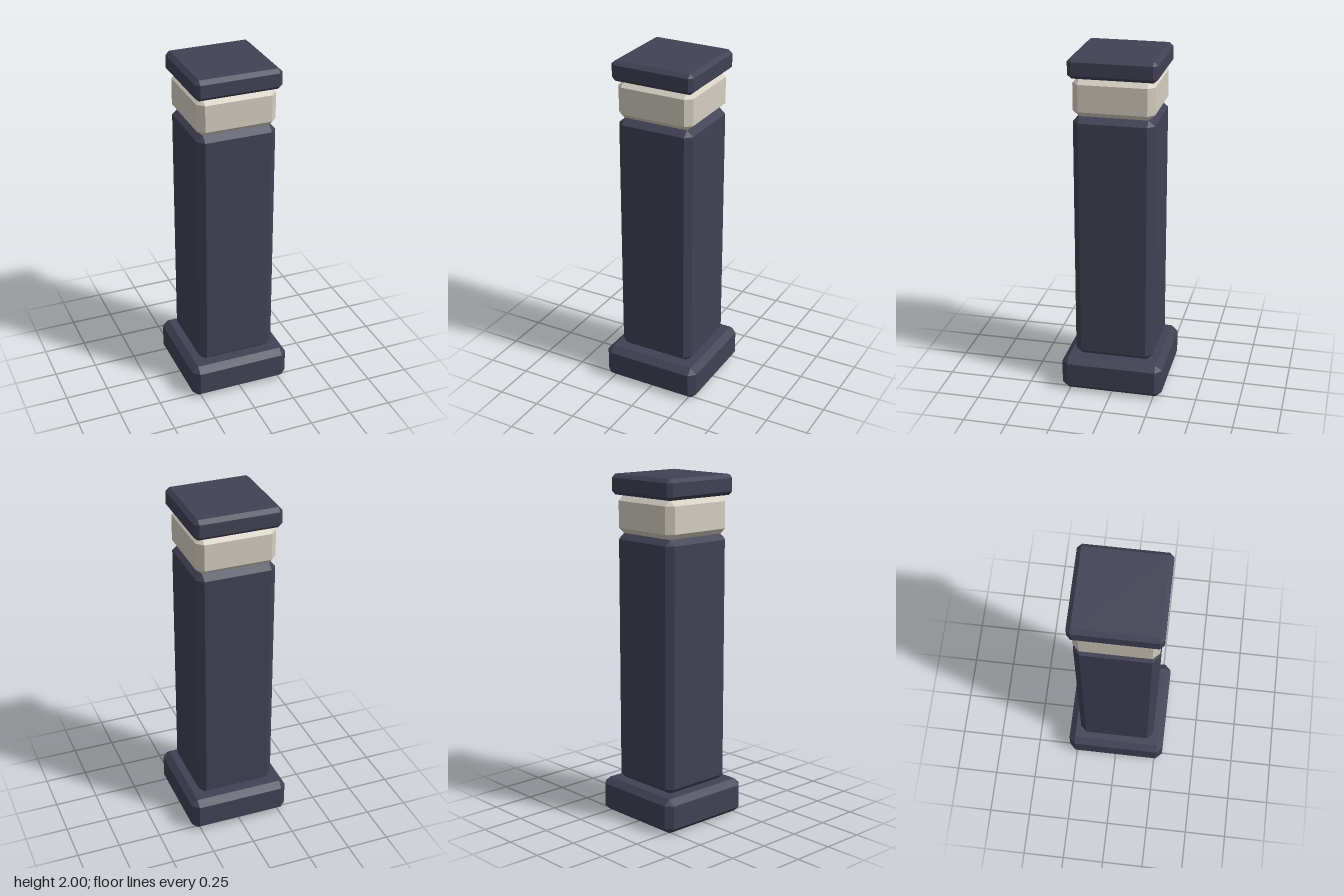
import * as THREE from 'three';
import { ConvexGeometry } from 'three/addons/geometries/ConvexGeometry.js';

// Square block with every edge cut at a bevel: b sideways, v vertically
function bevelledBlock(half, y0, y1, b, v) {
  const h = (y1 - y0) / 2, mid = (y0 + y1) / 2, points = [];
  for (const sx of [-1, 1]) for (const sy of [-1, 1]) for (const sz of [-1, 1]) {
    const add = (x, y, z) => points.push(new THREE.Vector3(sx * x, mid + sy * y, sz * z));
    add(half, h - v, half - b);
    add(half - b, h, half - b);
    add(half - b, h - v, half);
  }
  return new ConvexGeometry(points);
}

export function createModel() {
  const stone = new THREE.MeshStandardMaterial({ color: 0x414155 });
  stone.name = 'dark stone';
  const lamp = new THREE.MeshStandardMaterial({ color: 0xd4cec2 });
  lamp.name = 'pale lamp';

  const group = new THREE.Group();
  group.name = 'post';

  // name, half width, bottom, top, sideways bevel, vertical bevel, material
  const parts = [
    ['base', 0.299, 0, 0.204, 0.038, 0.033, stone],
    ['shaft', 0.23, 0.204, 1.665, 0.037, 0.032, stone],
    ['lampBand', 0.23, 1.665, 1.883, 0.037, 0.032, lamp],
    ['cap', 0.25, 1.883, 2, 0.024, 0.021, stone],
  ];
  for (const [name, half, y0, y1, b, v, material] of parts) {
    const mesh = new THREE.Mesh(bevelledBlock(half, y0, y1, b, v), material);
    mesh.name = name;
    group.add(mesh);
  }
  return group;
}
